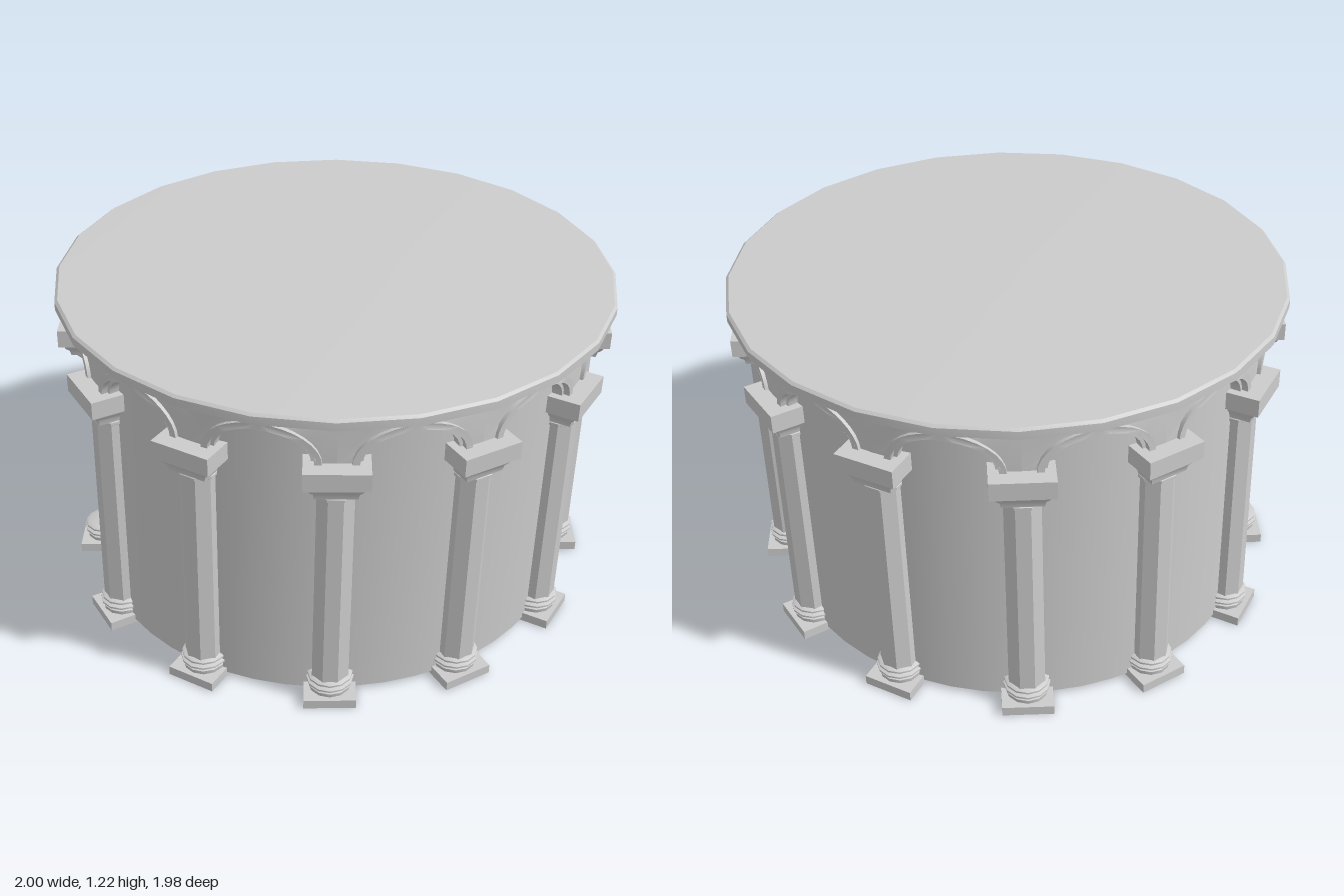
import * as THREE from 'three';
import { toCreasedNormals } from 'three/addons/utils/BufferGeometryUtils.js';

const BAYS = 12;
const PITCH = (Math.PI * 2) / BAYS;
const TURN = THREE.MathUtils.degToRad(2.5); // whole arcade is turned slightly
const R = 0.88; // radius of the wall and of the column ring
const BROKEN = 10; // this column has lost its shaft

const material = new THREE.MeshStandardMaterial({ color: 0xcccccc, side: THREE.DoubleSide });

// The old building leans a little towards +x and its top sinks on that side.
function lean(geometry) {
  const p = geometry.attributes.position;
  for (let i = 0; i < p.count; i++) {
    const x = p.getX(i), y = p.getY(i);
    p.setXY(i, x + 0.03 * y - 0.03, y * (1 - 0.01 * x));
  }
  return geometry;
}

function add(parent, name, geometry, crease = 0.6) {
  const mesh = new THREE.Mesh(toCreasedNormals(lean(geometry), crease), material);
  mesh.name = name;
  parent.add(mesh);
}

function lathe(profile, sides, start = 0) {
  const points = profile.map(([r, y]) => new THREE.Vector2(r, y));
  return new THREE.LatheGeometry(points, sides, start);
}

// Wrap a flat shape (u = arc length, y = height) round the ring, from radius r0 to r1.
function wrap(shape, r0, r1, angle) {
  const g = new THREE.ExtrudeGeometry(shape, { depth: r1 - r0, bevelEnabled: false });
  const p = g.attributes.position;
  for (let i = 0; i < p.count; i++) {
    const a = angle + p.getX(i) / R, r = r0 + p.getZ(i);
    p.setXYZ(i, r * Math.sin(a), p.getY(i), r * Math.cos(a));
  }
  return g;
}

// Points of a half ellipse standing on the capitals, from +u to -u
function archPoints(a, b, steps = 16) {
  return Array.from({ length: steps + 1 }, (_, i) => {
    const t = (Math.PI * i) / steps;
    return new THREE.Vector2(a * Math.cos(t), 0.995 + b * Math.sin(t));
  });
}

function spandrelShape() {
  const half = (PITCH * R) / 2, top = 1.15, steps = 8;
  const points = [new THREE.Vector2(half, 0.995), ...archPoints(0.17, 0.12), new THREE.Vector2(-half, 0.995)];
  for (let i = 0; i <= steps; i++) points.push(new THREE.Vector2(-half + (2 * half * i) / steps, top));
  return new THREE.Shape(points);
}

function mouldingShape(outerA, outerB, innerA, innerB) {
  return new THREE.Shape([...archPoints(outerA, outerB), ...archPoints(innerA, innerB).reverse()]);
}

const baseProfile = [
  [0, 0.035], [0.074, 0.035], [0.076, 0.05], [0.064, 0.055], [0.082, 0.063], [0.082, 0.07],
  [0.067, 0.075], [0.078, 0.083], [0.078, 0.09], [0.064, 0.097], [0, 0.097],
];
const neckProfile = [
  [0, 0.86], [0.067, 0.86], [0.074, 0.865], [0.074, 0.875], [0.067, 0.882], [0, 0.885],
];
// Half widths of the square capital
const capitalProfile = [
  [0, 0.88], [0.069, 0.88], [0.073, 0.9], [0.085, 0.915], [0.09, 0.928],
  [0.107, 0.935], [0.107, 1.0], [0, 1.0],
];

function makeColumn(index) {
  const column = new THREE.Group();
  column.name = 'column';
  const place = g => g.translate(0, 0, R).rotateY(TURN + index * PITCH);

  add(column, 'plinth', place(new THREE.BoxGeometry(0.18, 0.035, 0.18).translate(0, 0.0175, 0)));
  add(column, 'baseRings', place(lathe(baseProfile, 12)));
  if (index !== BROKEN) {
    const shaft = new THREE.CylinderGeometry(0.066, 0.068, 0.785, 8, 1, false, Math.PI / 8);
    add(column, 'shaft', place(shaft.translate(0, 0.4825, 0)));
  }
  add(column, 'neckRing', place(lathe(neckProfile, 8, Math.PI / 8)));
  const square = capitalProfile.map(([w, y]) => [w * Math.SQRT2, y]);
  add(column, 'capital', place(lathe(square, 4, Math.PI / 4)));
  return column;
}

function makeArch(index) {
  const arch = new THREE.Group();
  arch.name = 'arch';
  const angle = TURN + (index + 0.5) * PITCH;
  add(arch, 'spandrel', wrap(spandrelShape(), 0.835, 0.925, angle));
  add(arch, 'archMoulding', wrap(mouldingShape(0.187, 0.138, 0.165, 0.115), 0.825, 0.937, angle));
  add(arch, 'archInnerRing', wrap(mouldingShape(0.168, 0.118, 0.153, 0.104), 0.845, 0.915, angle));
  return arch;
}

export function createModel() {
  const model = new THREE.Group();
  model.name = 'rotunda';

  // Drum wall, open at the bottom
  const wall = new THREE.CylinderGeometry(R, R, 1.13, 48, 1, true).translate(0, 0.58, 0);
  add(model, 'wall', wall);

  // Columns and the arches between them
  for (let i = 0; i < BAYS; i++) {
    model.add(makeColumn(i));
    model.add(makeArch(i));
  }

  // Shallow conical roof with a stepped cornice
  const roofProfile = [
    [0, 1.14], [0.94, 1.14], [0.955, 1.152], [0.975, 1.155], [0.99, 1.163],
    [0.99, 1.192], [0.98, 1.2], [0, 1.224],
  ];
  add(model, 'roof', lathe(roofProfile, 24, THREE.MathUtils.degToRad(2)), 0.4);

  return model;
}
